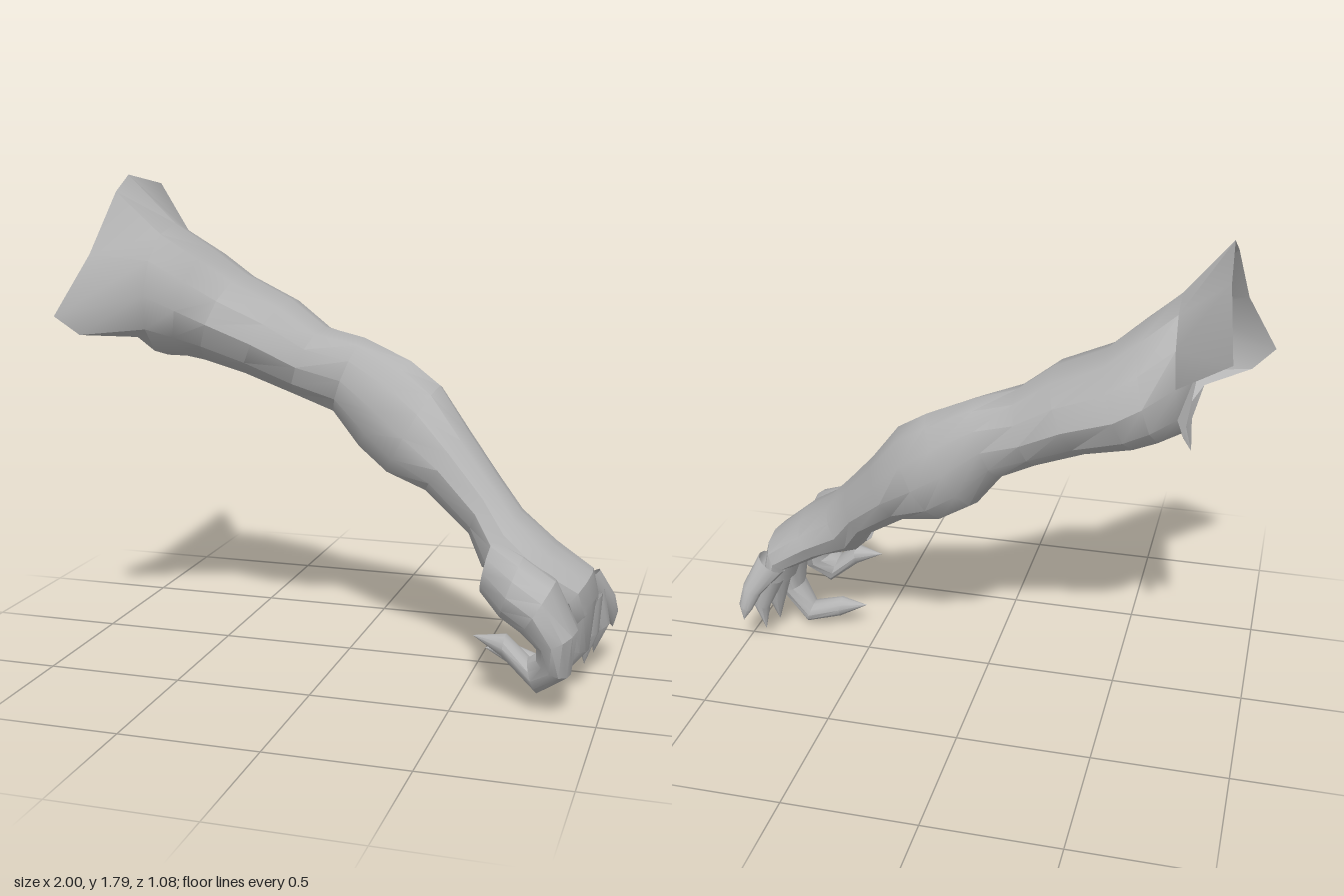
import * as THREE from 'three';
import { toCreasedNormals } from 'three/addons/utils/BufferGeometryUtils.js';

const SIDES = 12;
const skin = new THREE.MeshStandardMaterial({ color: 0xb4b4b4, side: THREE.DoubleSide });
skin.name = 'grey skin';

// Oval ring spanning an outer point, an inner point (both x, y) and a z range
function ring([ox, oy, ix, iy, z0, z1]) {
  const pts = [];
  for (let k = 0; k < SIDES; k++) {
    const a = (k / SIDES) * Math.PI * 2, c = Math.cos(a) / 2, s = Math.sin(a) / 2;
    pts.push([(ox + ix) / 2 + (ox - ix) * c, (oy + iy) / 2 + (oy - iy) * c, (z0 + z1) / 2 + (z1 - z0) * s]);
  }
  return pts;
}

// Skin a list of rings, closing the far end on a tip point
function loft(name, rings, tip) {
  const all = tip ? [...rings, Array(SIDES).fill(tip)] : rings;
  const index = [];
  for (let i = 0; i < all.length - 1; i++) {
    for (let k = 0; k < SIDES; k++) {
      const a = i * SIDES + k, b = i * SIDES + (k + 1) % SIDES, c = a + SIDES, d = b + SIDES;
      index.push(a, b, c);
      if (!tip || i < all.length - 2) index.push(b, d, c);
    }
  }
  const geo = new THREE.BufferGeometry();
  geo.setAttribute('position', new THREE.Float32BufferAttribute(all.flat(2), 3));
  geo.setIndex(index);
  const mesh = new THREE.Mesh(toCreasedNormals(geo, 0.6), skin);
  mesh.name = name;
  return mesh;
}

export function createModel() {
  const model = new THREE.Group();
  model.name = 'clawedArm';

  // Ragged open shoulder edge with a front and a back flap
  const shoulderEdge = [
    [-0.84, 1.79, 0.07], [-0.85, 1.73, 0.16], [-0.89, 1.51, 0.31], [-1, 1.29, 0.39],
    [-0.92, 1.22, 0.35], [-0.76, 1.2, 0.2], [-0.74, 1.15, 0], [-0.76, 1.11, -0.18],
    [-0.74, 1.2, -0.28], [-0.77, 1.43, -0.18], [-0.9, 1.58, -0.54], [-0.86, 1.75, -0.27],
  ];

  // Upper arm, elbow, forearm, wrist and palm
  const armSections = [
    [-0.68, 1.61, -0.72, 1.11, -0.25, 0.28],
    [-0.55, 1.51, -0.65, 1.1, -0.32, 0.23],
    [-0.44, 1.42, -0.57, 1.08, -0.33, 0.17],
    [-0.25, 1.33, -0.4, 1.04, -0.31, 0.18],
    [-0.12, 1.23, -0.22, 0.97, -0.27, 0.13],
    [0.03, 1.19, -0.08, 0.9, -0.24, 0.05],
    [0.21, 1.11, 0.02, 0.77, -0.25, 0.07],
    [0.33, 1.03, 0.14, 0.69, -0.24, 0.13],
    [0.45, 0.87, 0.3, 0.65, -0.18, 0.17],
    [0.57, 0.73, 0.48, 0.52, -0.1, 0.23],
    [0.67, 0.62, 0.54, 0.42, -0.06, 0.3],
    [0.8, 0.52, 0.69, 0.36, -0.04, 0.38],
    [0.93, 0.42, 0.82, 0.3, -0.05, 0.32],
    [0.95, 0.32, 0.84, 0.24, -0.05, 0.28],
  ];
  model.add(loft('armAndPalm', [shoulderEdge, ...armSections.map(ring)], [0.9, 0.19, 0.14]));

  // Curled digits: sections from knuckle to claw, then the claw point
  const digits = [
    ['thumb', [
      [0.6, 0.55, 0.56, 0.36, 0.16, 0.36],
      [0.72, 0.52, 0.65, 0.31, 0.22, 0.49],
      [0.84, 0.46, 0.73, 0.28, 0.27, 0.54],
      [0.92, 0.3, 0.78, 0.24, 0.28, 0.54],
      [0.9, 0.14, 0.78, 0.2, 0.3, 0.51],
      [0.79, 0.06, 0.75, 0.18, 0.33, 0.46],
      [0.66, 0.17, 0.67, 0.25, 0.33, 0.42],
    ], [0.55, 0.23, 0.36]],
    ['indexFinger', [
      [0.95, 0.34, 0.82, 0.28, 0.06, 0.28],
      [0.93, 0.15, 0.83, 0.17, 0.09, 0.24],
      [0.81, 0, 0.78, 0.09, 0.1, 0.2],
      [0.66, 0.05, 0.66, 0.13, 0.1, 0.18],
    ], [0.55, 0.11, 0.14]],
    ['middleFinger', [
      [0.96, 0.32, 0.84, 0.26, -0.02, 0.13],
      [0.95, 0.18, 0.87, 0.16, 0, 0.11],
    ], [0.9, 0.05, 0.05]],
    ['ringFinger', [
      [0.96, 0.32, 0.85, 0.27, -0.07, 0.06],
      [0.98, 0.19, 0.91, 0.15, -0.07, 0.02],
    ], [0.92, 0.06, -0.05]],
    ['littleFinger', [
      [0.94, 0.39, 0.84, 0.32, -0.07, 0.04],
      [0.99, 0.28, 0.92, 0.24, -0.12, -0.04],
      [1, 0.21, 0.95, 0.18, -0.14, -0.08],
    ], [0.98, 0.14, -0.13]],
  ];
  for (const [name, sections, tip] of digits) model.add(loft(name, sections.map(ring), tip));

  return model;
}
